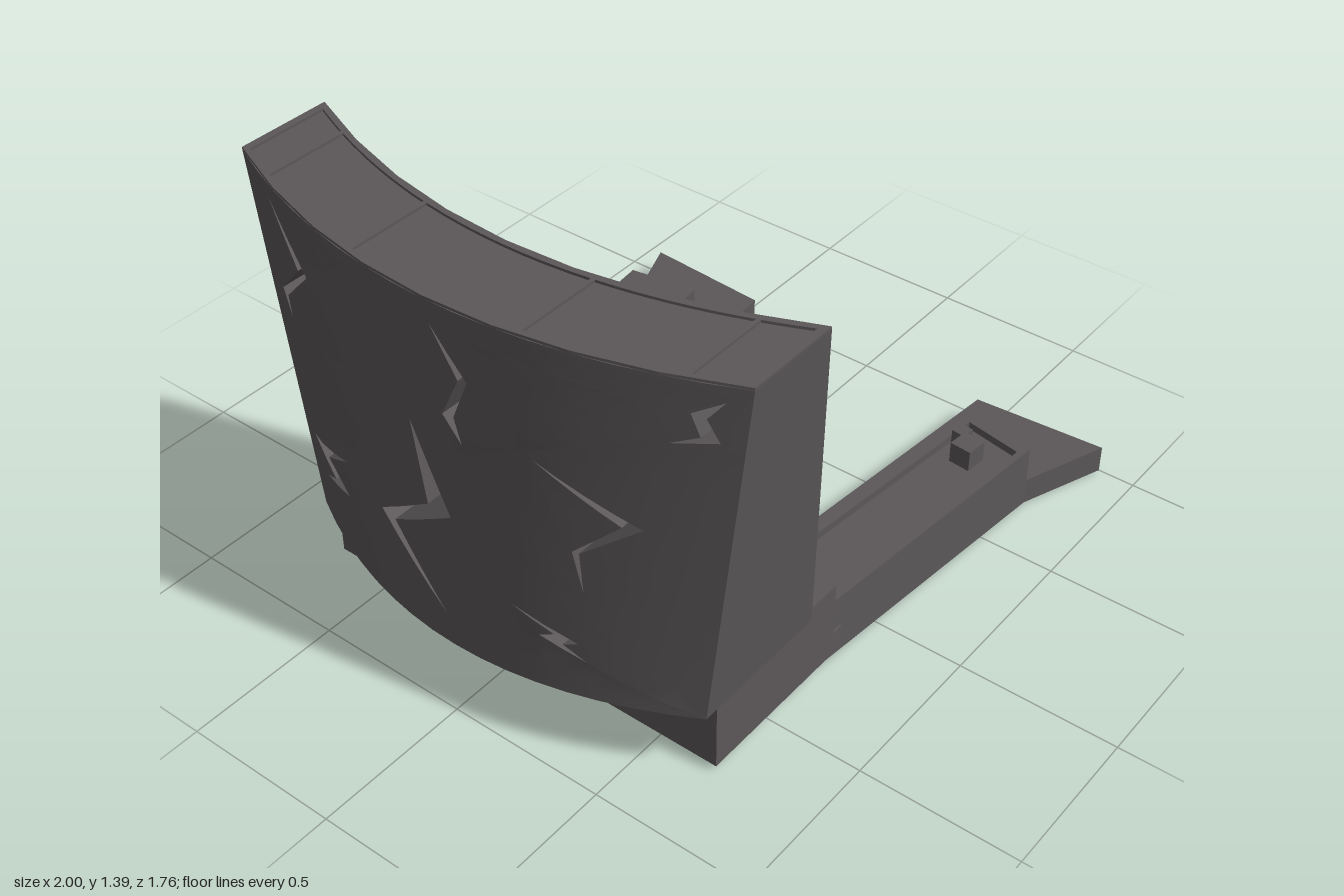
import * as THREE from 'three';
import { toCreasedNormals } from 'three/addons/utils/BufferGeometryUtils.js';

const stone = new THREE.MeshStandardMaterial({ color: 0x5c585a });
stone.name = 'dark stone';

function mesh(name, geometry) {
  const m = new THREE.Mesh(geometry, stone);
  m.name = name;
  return m;
}

// Box given by its min and max corners
function block(name, [x0, y0, z0], [x1, y1, z1]) {
  const g = new THREE.BoxGeometry(x1 - x0, y1 - y0, z1 - z0);
  g.translate((x0 + x1) / 2, (y0 + y1) / 2, (z0 + z1) / 2);
  return mesh(name, g);
}

// Vertical prism from a plan outline of [x, z] points, with optional holes
function prism(name, outline, y0, y1, holes = [], side = 1) {
  const flat = (pts) => pts.map(([x, z]) => new THREE.Vector2(x, -z * side));
  const shape = new THREE.Shape(flat(outline));
  holes.forEach((h) => shape.holes.push(new THREE.Path(flat(h))));
  const g = new THREE.ExtrudeGeometry(shape, { depth: y1 - y0, bevelEnabled: false });
  g.rotateX(-Math.PI / 2).translate(0, y0, 0);
  return mesh(name, g);
}

// Split long edges until the surface is fine enough to bend
function refine(geometry, limit) {
  const p = geometry.toNonIndexed().getAttribute('position');
  const stack = [];
  const out = [];
  for (let i = 0; i < p.count; i += 3) {
    stack.push([0, 1, 2].map((k) => new THREE.Vector3().fromBufferAttribute(p, i + k)));
  }
  while (stack.length) {
    const t = stack.pop();
    const len = [0, 1, 2].map((k) => t[k].distanceTo(t[(k + 1) % 3]));
    const k = len.indexOf(Math.max(...len));
    if (len[k] < limit) {
      t.forEach((v) => out.push(v.x, v.y, v.z));
      continue;
    }
    const a = t[k], b = t[(k + 1) % 3], c = t[(k + 2) % 3];
    const m = a.clone().add(b).multiplyScalar(0.5);
    stack.push([a, m, c], [m, b, c]);
  }
  const g = new THREE.BufferGeometry();
  g.setAttribute('position', new THREE.Float32BufferAttribute(out, 3));
  return g;
}

// Curved wall: s runs across (-1..1), t from back (0) to front (1)
const FOOT = 0.235, TOP = 1.387;
const rise = (y) => (y - FOOT) / (TOP - FOOT);
const halfWidth = (y) => 0.7 + 0.14 * rise(y);
function wallX(s, y, t) {
  const back = -0.985 - 0.015 * rise(y);
  const front = -0.515 - 0.185 * rise(y);
  return back + (front - back) * t + 0.2 * s * s;
}

// Lightning-shaped cracks through the wall, as [across, up]
const cracks = [
  [[-0.80, 1.35], [-0.70, 1.29], [-0.72, 1.22], [-0.645, 1.185], [-0.763, 1.21], [-0.735, 1.28]],
  [[-0.015, 1.32], [-0.095, 1.18], [-0.033, 1.05], [-0.09, 0.975], [-0.07, 1.055], [-0.123, 1.185]],
  [[0.678, 1.34], [0.55, 1.18], [0.692, 1.035], [0.654, 0.96], [0.659, 1.03], [0.502, 1.185]],
  [[-0.30, 1.02], [-0.526, 0.88], [-0.393, 0.755], [-0.417, 0.62], [-0.412, 0.755], [-0.578, 0.885]],
  [[0.09, 0.975], [0.052, 0.71], [0.256, 0.573], [0.019, 0.34], [0.199, 0.568], [-0.028, 0.705]],
  [[-0.204, 0.497], [-0.327, 0.44], [-0.284, 0.42], [-0.412, 0.37], [-0.35, 0.412], [-0.393, 0.43]],
  [[0.427, 0.615], [0.588, 0.558], [0.654, 0.545], [0.526, 0.478], [0.588, 0.44], [0.44, 0.478], [0.555, 0.535]],
];

function wall() {
  const toVec = (pts) => pts.map(([u, v]) => new THREE.Vector2(u, v));
  const shape = new THREE.Shape(toVec([[-0.7, FOOT], [0.7, FOOT], [0.84, TOP], [-0.84, TOP]]));
  cracks.forEach((c) => shape.holes.push(new THREE.Path(toVec(c))));
  const depth = 0.3;
  const g = refine(new THREE.ExtrudeGeometry(shape, { depth, bevelEnabled: false }), 0.13);
  const p = g.getAttribute('position');
  for (let i = 0; i < p.count; i++) {
    const u = p.getX(i), y = p.getY(i);
    p.setXYZ(i, wallX(u / halfWidth(y), y, p.getZ(i) / depth), y, -u);
  }
  return mesh('curvedWall', toCreasedNormals(g, 0.5));
}

// Outline of a stretch of the wall top, as [x, z]
function topStretch(s0, s1, t0, t1) {
  const n = 8, pts = [];
  const at = (s, t) => [wallX(s, TOP, t), s * halfWidth(TOP)];
  for (let i = 0; i <= n; i++) pts.push(at(s0 + (s1 - s0) * i / n, t0));
  for (let i = n; i >= 0; i--) pts.push(at(s0 + (s1 - s0) * i / n, t1));
  return pts;
}

// One leg of the base, side = 1 for +z and -1 for -z
function leg(side) {
  const group = new THREE.Group();
  group.name = side > 0 ? 'frontLeg' : 'backLeg';
  // flared foot plate
  group.add(prism('footPlate', [[-0.59, 0.655], [0.72, 0.775], [1, 0.88], [0.97, 0.445], [-0.59, 0.302]],
    0, 0.09, [], side));
  // raised beam with a sunken tray
  const beam = [[-0.25, 0.687], [0.72, 0.775], [0.757, 0.54], [-0.25, 0.443]];
  const tray = [[-0.2, 0.667], [0.685, 0.75], [0.72, 0.56], [-0.2, 0.47]];
  group.add(prism('beam', beam, 0.09, 0.185, [], side));
  group.add(prism('beamRim', beam, 0.185, 0.21, [tray], side));
  return group;
}

// Small cube debris, resting at y0
function rubble(x, z, size, y0, y1, turn = 0) {
  const g = new THREE.BoxGeometry(size, y1 - y0, size);
  g.rotateY(turn).translate(x, (y0 + y1) / 2, z);
  return mesh('rubbleCube', g);
}

export function createModel() {
  const model = new THREE.Group();
  model.name = 'ruinedWall';

  // base slab and its lower step
  model.add(block('baseSlab', [-0.74, 0.02, -0.7], [-0.2, 0.28, 0.7]));
  model.add(block('baseStep', [-0.2, 0.02, -0.7], [-0.16, 0.1, 0.7]));

  // cracked wall with a thin divided rim on top
  model.add(wall());
  const cuts = [-0.98, -0.82, -0.33, 0.33, 0.82, 0.98];
  const panels = cuts.slice(1).map((s, i) => topStretch(cuts[i] + 0.007, s - 0.007, 0.06, 0.94));
  model.add(prism('wallRim', topStretch(-1, 1, 0, 1), TOP, TOP + 0.008, panels));

  model.add(leg(1), leg(-1));

  // loose cubes on the legs and the slab
  model.add(rubble(-0.135, -0.555, 0.072, 0.18, 0.25, 0.09));
  model.add(rubble(-0.083, -0.627, 0.045, 0.18, 0.225, 0.09));
  model.add(rubble(0.583, 0.635, 0.072, 0.18, 0.255, -0.09));
  model.add(rubble(0.65, 0.577, 0.045, 0.18, 0.232, -0.09));
  for (const z of [-0.18, 0.175]) model.add(rubble(-0.483, z, 0.036, 0.27, 0.297));

  return model;
}
